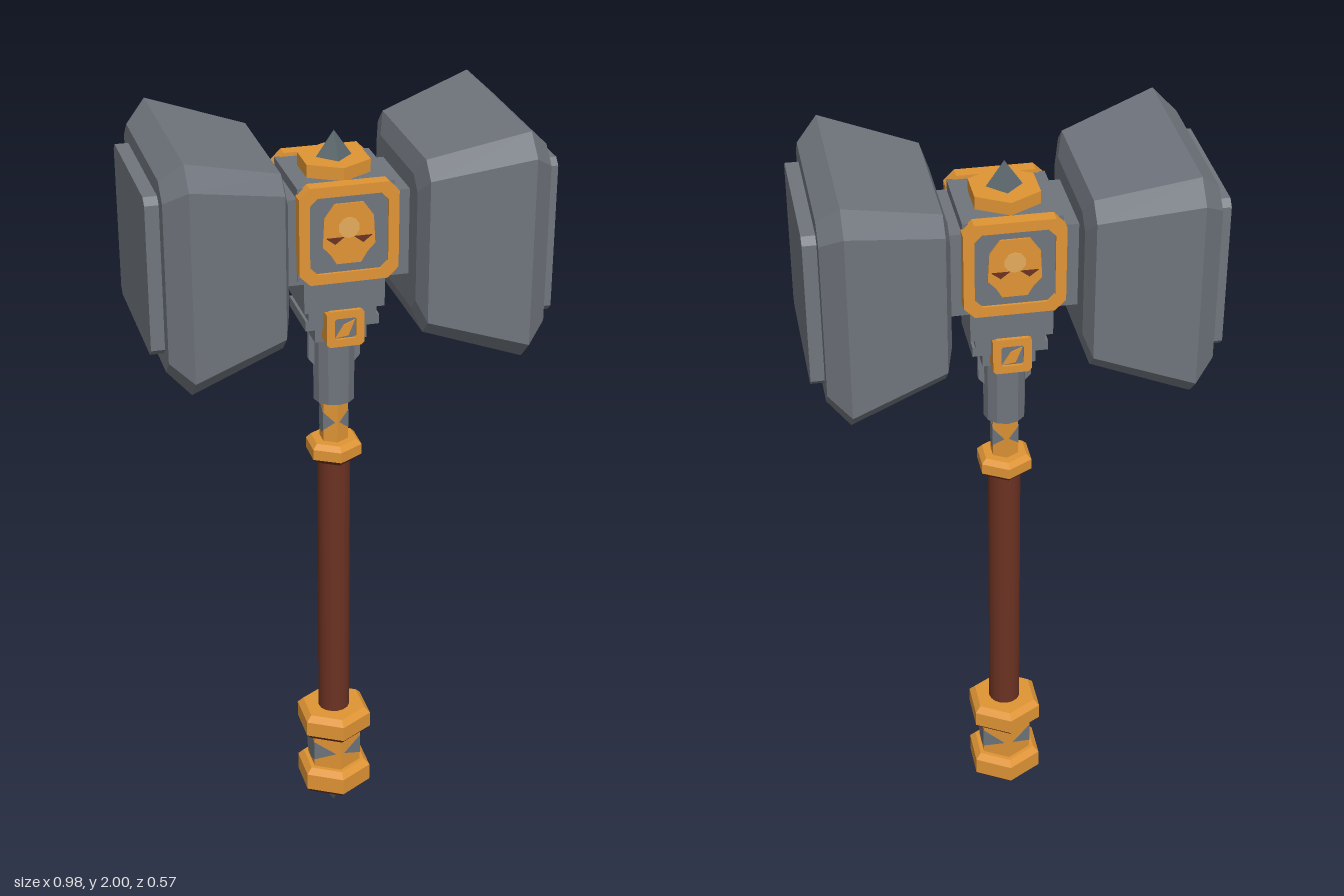
import * as THREE from 'three';

const mat = (name, color) => Object.assign(new THREE.MeshStandardMaterial({ color }), { name });

export function createModel() {
  const steel = mat('steel', 0x70757d);
  const darkSteel = mat('dark steel', 0x5c686e);
  const gold = mat('gold', 0xe09535);
  const paleGold = mat('pale gold', 0xe6ab5c);
  const leather = mat('leather', 0x6b3222);

  const root = new THREE.Group();
  root.name = 'warHammer';

  const add = (name, geo, material, parent = root) => {
    const flat = geo.index ? geo.toNonIndexed() : geo;
    flat.computeVertexNormals();
    const mesh = new THREE.Mesh(flat, material);
    mesh.name = name;
    parent.add(mesh);
  };

  const box = (name, w, y0, y1, d, material) =>
    add(name, new THREE.BoxGeometry(w, y1 - y0, d).translate(0, (y0 + y1) / 2, 0), material);

  // faceted solid turned about y; profile runs from bottom to top
  const turned = (name, points, sides, material) =>
    add(name, new THREE.LatheGeometry(points.map(p => new THREE.Vector2(...p)), sides), material);

  // square with cut corners
  const octagon = (h, c) => [
    [h, -h + c], [h, h - c], [h - c, h], [-h + c, h],
    [-h, h - c], [-h, -h + c], [-h + c, -h], [h - c, -h],
  ];

  // loft of cut-corner squares along x; each station is [x, half size, corner cut]
  const loft = stations => {
    const pos = [];
    const rings = stations.map(([x, h, c]) => octagon(h, c).map(([z, y]) => [x, y, z]));
    const tri = (a, b, c) => pos.push(...a, ...b, ...c);
    for (let i = 0; i < rings.length - 1; i++) {
      for (let j = 0; j < 8; j++) {
        const k = (j + 1) % 8, a = rings[i], b = rings[i + 1];
        tri(a[j], b[j], b[k]);
        tri(a[j], b[k], a[k]);
      }
    }
    const first = rings[0], last = rings[rings.length - 1];
    for (let j = 1; j < 7; j++) {
      tri(first[0], first[j], first[j + 1]);
      tri(last[0], last[j + 1], last[j]);
    }
    const geo = new THREE.BufferGeometry();
    geo.setAttribute('position', new THREE.Float32BufferAttribute(pos, 3));
    return geo;
  };

  // flat plate facing +z, with an optional cut-corner hole
  const plate = (points, depth, hole) => {
    const toVec = list => list.map(p => new THREE.Vector2(...p));
    const shape = new THREE.Shape(toVec(points));
    if (hole) shape.holes.push(new THREE.Path(toVec(hole)));
    return new THREE.ExtrudeGeometry(shape, { depth, bevelEnabled: false });
  };

  // two hammer heads, each with a raised striking plate
  for (const side of [1, -1]) {
    const head = new THREE.Group();
    head.name = side > 0 ? 'leftHead' : 'rightHead';
    head.position.y = 1.718;
    if (side < 0) head.rotation.y = Math.PI;
    root.add(head);
    add('headBlock', loft([
      [0.155, 0.17, 0.034], [0.172, 0.217, 0.04], [0.405, 0.283, 0.05], [0.457, 0.235, 0.04],
    ]), steel, head);
    add('strikingPlate', loft([[0.45, 0.194, 0.016], [0.49, 0.194, 0.016]]), steel, head);
  }

  // core joining the heads, and the stepped mount beneath it
  box('neck', 0.34, 1.627, 1.842, 0.22, steel);
  box('coreBlock', 0.236, 1.63, 1.868, 0.222, steel);
  box('mountUpper', 0.2, 1.545, 1.632, 0.2, steel);
  box('mountLower', 0.17, 1.515, 1.546, 0.16, steel);
  box('mountLip', 0.184, 1.49, 1.516, 0.16, steel);
  box('mountFoot', 0.13, 1.45, 1.49, 0.13, steel);

  // framed medallion and small clasp on front and back
  for (const side of [1, -1]) {
    const face = new THREE.Group();
    face.name = side > 0 ? 'frontOrnament' : 'backOrnament';
    if (side < 0) face.rotation.y = Math.PI;
    root.add(face);
    const put = (name, geo, m, x, y, z) => add(name, geo.translate(x, y, z), m, face);

    put('frame', plate(octagon(0.121, 0.026), 0.034, octagon(0.095, 0.018)), gold, 0, 1.756, 0.106);
    put('panel', plate(octagon(0.097, 0.018), 0.024), steel, 0, 1.756, 0.109);
    const medal = [[-0.03, -0.075], [0.03, -0.075], [0.045, -0.05], [0.064, -0.03], [0.06, 0.04],
      [0.035, 0.075], [-0.035, 0.075], [-0.06, 0.04], [-0.064, -0.03], [-0.045, -0.05]];
    put('medallion', plate(medal, 0.005), gold, 0, 1.757, 0.132);
    const boss = new THREE.CylinderGeometry(0.026, 0.026, 0.004, 10).rotateX(Math.PI / 2);
    put('medallionBoss', boss, paleGold, 0, 1.772, 0.137);
    for (const x of [-0.034, 0.034]) {
      put('medallionInlay', plate([[-0.022, 0.007], [0, -0.01], [0.022, 0.007]], 0.003),
        leather, x, 1.742, 0.136);
    }
    put('clasp', plate(octagon(0.047, 0.008), 0.045, octagon(0.027, 0.004)), gold, 0, 1.5, 0.065);
    put('claspPanel', plate(octagon(0.029, 0.004), 0.036), steel, 0, 1.5, 0.067);
    put('claspInlay', plate([[-0.024, -0.024], [0.008, -0.02], [0.024, 0.02], [-0.004, 0.008]], 0.004),
      gold, 0, 1.5, 0.103);
  }

  // top collar and four-sided spike
  turned('topCollar', [[0, 1.865], [0.09, 1.865], [0.09, 1.9], [0, 1.9]], 6, gold);
  turned('topSpike', [[0.047, 1.895], [0, 1.963]], 4, darkSteel);

  // socket with side fins
  turned('socket', [[0, 1.265], [0.052, 1.265], [0.054, 1.46]], 12, steel);
  const fin = [[-0.05, 1.36], [0.05, 1.36], [0.066, 1.378], [0.066, 1.455], [-0.066, 1.455], [-0.066, 1.378]];
  add('socketFins', plate(fin, 0.016).translate(0, 0, -0.008), steel);

  // grip
  const grip = new THREE.Mesh(new THREE.CylinderGeometry(0.042, 0.042, 0.8, 16, 1, true), leather);
  grip.geometry.translate(0, 0.71, 0);
  grip.name = 'grip';
  root.add(grip);

  // hexagonal rings: gold sides and top, leather-coloured underside
  const ring = (name, r, y0, y1, bevel) => {
    const inner = r - bevel;
    turned(name, [[r, y0 + bevel], [r, y1 - bevel], [inner, y1], [0, y1]], 6, gold);
    turned(name + 'Underside', [[0, y0], [inner, y0], [r, y0 + bevel]], 6, leather);
  };
  ring('gripRing', 0.073, 1.098, 1.152, 0.013);
  ring('pommelUpperRing', 0.102, 0.255, 0.33, 0.016);
  ring('pommelLowerRing', 0.102, 0.075, 0.155, 0.016);

  // hexagonal sleeves; a diamond on each side wraps over three faces
  const sleeve = (name, r, y0, y1, hh) => {
    turned(name, [[r, y0], [r, y1]], 6, gold);
    const w = r / 2, e = hh * 0.62, tip = w * 0.65;
    const middle = [[-w, -e], [0, -hh], [w, -e], [w, e], [0, hh], [-w, e]];
    const wings = [[[w, -e], [w, e], [-tip, 0]], middle, [[-w, -e], [tip, 0], [-w, e]]];
    for (let i = 0; i < 6; i++) {
      const geo = plate(wings[i % 3], 0.003);
      geo.translate(0, (y0 + y1) / 2, r * Math.cos(Math.PI / 6) - 0.002);
      add(name + 'Diamond', geo.rotateY((i + 0.5) * Math.PI / 3), steel);
    }
  };
  sleeve('upperSleeve', 0.037, 1.14, 1.275, 0.04);
  sleeve('pommelSleeve', 0.074, 0.145, 0.265, 0.046);

  // pommel spike
  turned('pommelSpike', [[0, 0], [0.052, 0.078]], 4, darkSteel);

  return root;
}
